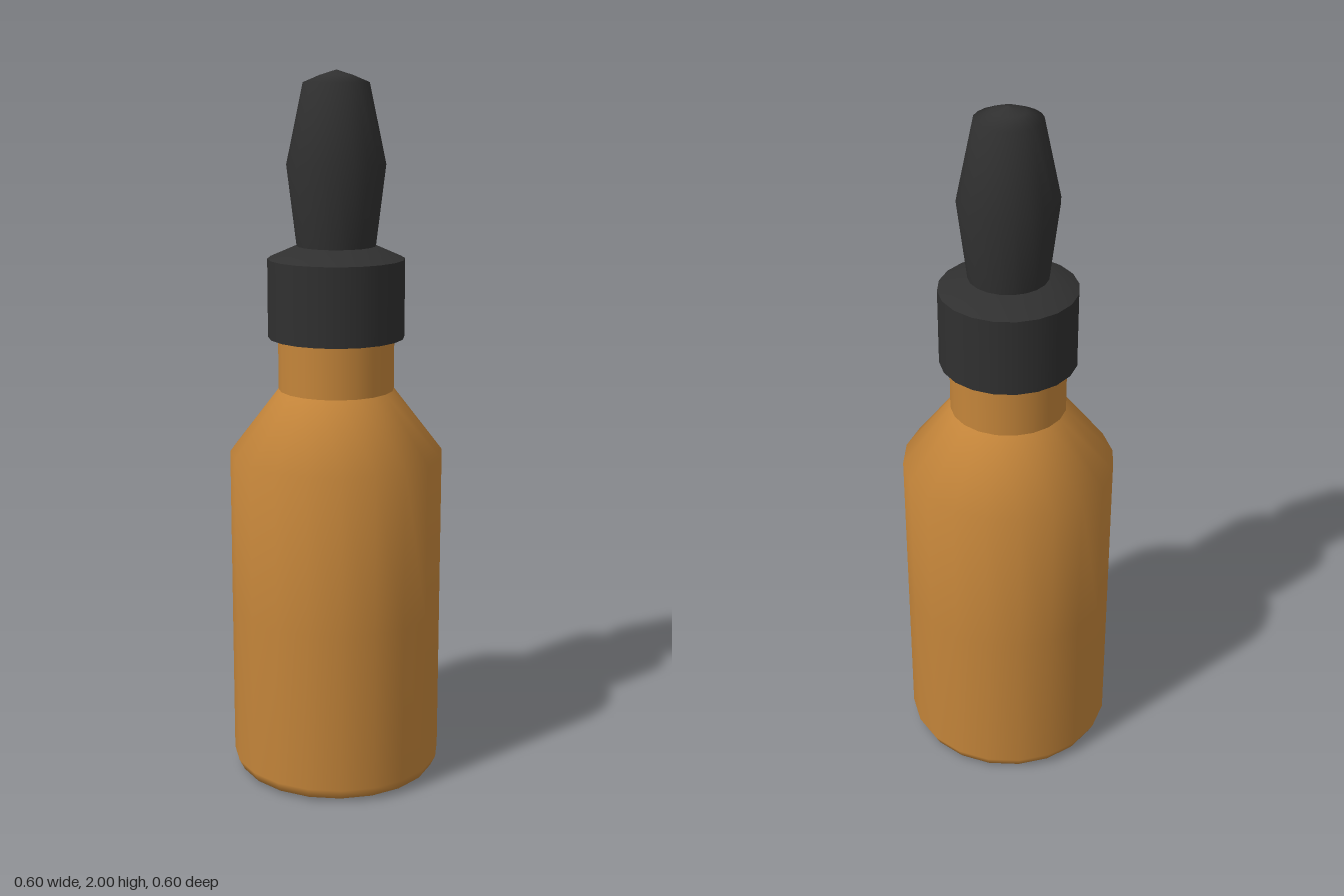
import * as THREE from 'three';

const SIDES = 20;

// Revolves each [radius, height] run; separate runs meet in a sharp edge
function turned(name, material, ...runs) {
  const group = new THREE.Group();
  group.name = name;
  runs.forEach((run, i) => {
    const points = run.map(([r, y]) => new THREE.Vector2(r, y));
    const mesh = new THREE.Mesh(new THREE.LatheGeometry(points, SIDES), material);
    mesh.name = `${name}Surface${i + 1}`;
    group.add(mesh);
  });
  return group;
}

export function createModel() {
  const amber = new THREE.MeshStandardMaterial({ color: 0xc4853a });
  amber.name = 'amber glass';
  const black = new THREE.MeshStandardMaterial({ color: 0x303030 });
  black.name = 'black rubber';

  const model = new THREE.Group();
  model.name = 'dropperBottle';

  // Bottle: rounded foot, straight wall, sloping shoulder, neck
  model.add(turned('bottle', amber,
    [[0, 0.005], [0.255, 0.005], [0.285, 0.015], [0.3, 0.045], [0.3, 0.5], [0.3, 0.95], [0.162, 1.13]],
    [[0.162, 1.13], [0.162, 1.32]]));

  // Screw cap: underside, wall and bevelled top
  model.add(turned('cap', black,
    [[0.155, 1.277], [0.19, 1.277]],
    [[0.19, 1.277], [0.19, 1.495]],
    [[0.19, 1.495], [0.11, 1.53], [0, 1.53]]));

  // Squeeze bulb, widest at mid height with a low domed tip
  model.add(turned('bulb', black,
    [[0.108, 1.52], [0.136, 1.75], [0.09, 1.967], [0.045, 1.986], [0, 2]]));

  return model;
}
